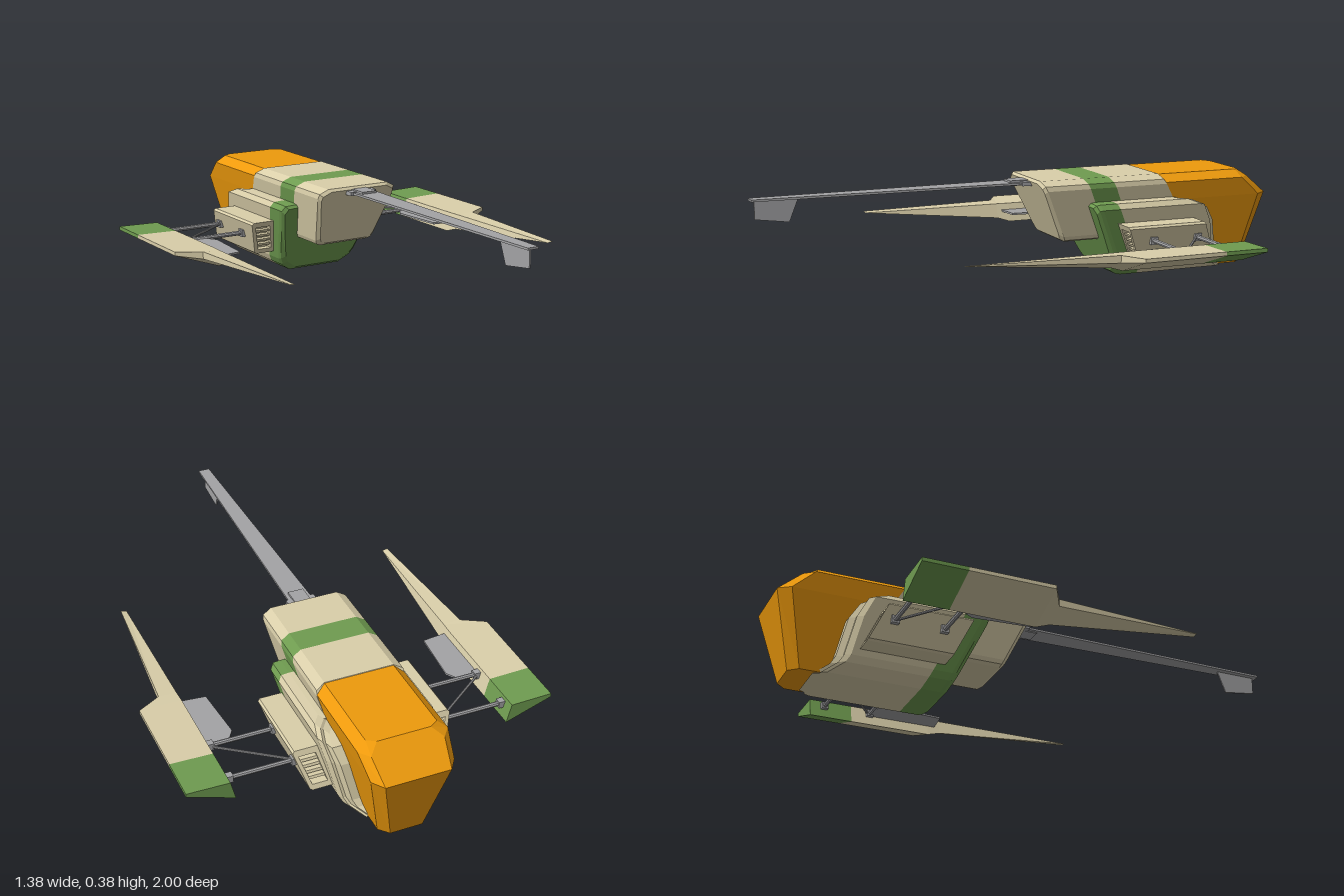
import * as THREE from 'three';

const mat = (color) => new THREE.MeshStandardMaterial({ color, flatShading: true, side: THREE.DoubleSide });

// Skin closed loops of [x, y, z] placed along z, with strip caps at both ends.
function loft(loops) {
  const n = loops[0].length, pos = [], idx = [];
  loops.forEach((l) => l.forEach((p) => pos.push(...p)));
  let area = 0;
  loops[1].forEach((p, i) => {
    const q = loops[1][(i + 1) % n];
    area += p[0] * q[1] - q[0] * p[1];
  });
  const flip = area * (loops[loops.length - 1][0][2] - loops[0][0][2]) < 0;
  const tri = (a, b, c) => (flip ? idx.push(a, c, b) : idx.push(a, b, c));
  const quad = (a, b, c, d) => { tri(a, b, c); tri(a, c, d); };
  for (let r = 0; r < loops.length - 1; r++) {
    for (let i = 0; i < n; i++) {
      const j = (i + 1) % n;
      quad(r * n + i, r * n + j, (r + 1) * n + j, (r + 1) * n + i);
    }
  }
  const last = (loops.length - 1) * n;
  for (let i = 0; i < n / 2 - 1; i++) {
    const a = i, b = i + 1, c = n - 2 - i, d = n - 1 - i;
    quad(a, d, c, b);
    quad(last + a, last + b, last + c, last + d);
  }
  const g = new THREE.BufferGeometry();
  g.setAttribute('position', new THREE.Float32BufferAttribute(pos, 3));
  g.setIndex(idx);
  const flat = g.toNonIndexed();
  flat.computeVertexNormals();
  return flat;
}

// Mirror a half section, listed from top to bottom, into a full loop.
const mirrorLoop = (half) => [...half, ...half.map(([x, y, z]) => [-x, y, z]).reverse()];

// Half profile on a plane leaning back towards the bottom, optionally shrunk.
function leaning(profile, z, lean, shrink = 0) {
  const mid = (profile[0][1] + profile[profile.length - 1][1]) / 2;
  return mirrorLoop(profile.map(([x, y]) => {
    const yy = y - Math.sign(y - mid) * shrink;
    return [x - shrink, yy, z - (0.385 - yy) * lean];
  }));
}

export function createModel() {
  const root = new THREE.Group();
  const cream = mat(0xdacfaa), green = mat(0x6f9c50), orange = mat(0xee9a0c), grey = mat(0xa3a3a5);
  const add = (name, geo, material, parent = root) => {
    const m = new THREE.Mesh(geo, material);
    m.name = name;
    parent.add(m);
    return m;
  };

  // Upper hull with a painted band
  const upper = [[0.13, 0.385], [0.163, 0.368], [0.166, 0.35], [0.128, 0.17], [0.121, 0.155], [0.105, 0.148]];
  const up = (z, s, lean = 0.45) => leaning(upper, z, lean, s);
  add('upperHullNose', loft([up(-0.035, 0.01), up(-0.048, 0), up(-0.22, 0)]), cream);
  add('upperHullBand', loft([up(-0.22, 0), up(-0.325, 0)]), green);
  add('upperHullRear', loft([up(-0.325, 0), up(-0.53, 0, 0.6)]), cream);

  // Lower hull saddle: painted front, rounded rear shoulder and rear lip
  const lower = [[0.175, 0.297], [0.205, 0.295], [0.217, 0.275], [0.2, 0.2], [0.168, 0.06], [0.155, 0.035], [0.11, 0.005]];
  const low = (z, s) => leaning(lower, z, 0.45, s);
  const rearZ = [-0.58, -0.62, -0.67, -0.705, -0.735, -0.75, -0.8];
  const rear = (dx, dy, dz) => mirrorLoop(lower.map(([x, y], i) =>
    [x - dx, y - (i < 3 ? dy : 0), rearZ[i] - dz]));
  add('lowerHullFront', loft([low(-0.187, 0.014), low(-0.2, 0.003), low(-0.215, 0), low(-0.285, 0)]), green);
  add('lowerHullBody', loft([low(-0.285, 0), rear(0, 0, 0), rear(0.012, 0.005, 0.022),
    rear(0.022, 0.012, 0.022), rear(0.035, 0.02, 0.045)]), cream);

  // Engine block at the back
  const engine = [[0.13, 0.383], [0.165, 0.355], [0.152, 0.285], [0.092, 0.008]];
  const tail = (dx, zs) => mirrorLoop(engine.map(([x, y], i) => [x - dx, y, zs[i]]));
  add('engineBlock', loft([leaning(engine, -0.53, 0.6),
    tail(0, [-0.86, -0.875, -0.955, -0.895]), tail(0.032, [-0.88, -0.914, -1, -0.93])]), orange);

  // Long front blade with its mount and tip fin
  const slab = (w, y0, y1, z) => [[w, y1, z], [w, y0, z], [-w, y0, z], [-w, y1, z]];
  add('frontBlade', loft([slab(0.045, 0.361, 0.369, -0.06), slab(0.022, 0.361, 0.369, 1)]), grey);
  add('bladeMount', loft([slab(0.055, 0.356, 0.373, -0.08), slab(0.055, 0.358, 0.372, -0.01)]), grey);
  add('bladeClamp', new THREE.BoxGeometry(0.06, 0.02, 0.1), grey).position.set(0, 0.367, -0.02);
  const fin = new THREE.Shape([[0.825, 0.365], [0.985, 0.365], [0.985, 0.295], [0.86, 0.278]]
    .map(([z, y]) => new THREE.Vector2(-z, y)));
  const finGeo = new THREE.ExtrudeGeometry(fin, { depth: 0.006, bevelEnabled: false });
  finGeo.translate(0, 0, -0.003).rotateY(Math.PI / 2);
  add('tipFin', finGeo, grey);

  const rod = (name, a, b, r, parent) => {
    const from = new THREE.Vector3(...a), to = new THREE.Vector3(...b);
    add(name, new THREE.TubeGeometry(new THREE.LineCurve3(from, to), 1, r, 8), grey, parent);
  };

  for (const s of [1, -1]) {
    const side = new THREE.Group();
    side.name = s > 0 ? 'leftSide' : 'rightSide';
    root.add(side);

    // Leaning prism from an x-y outline
    const prism = (pts, z, depth, hole) => {
      const v = (list) => list.map(([x, y]) => new THREE.Vector2(s * x, y));
      const shape = new THREE.Shape(v(pts));
      if (hole) shape.holes.push(new THREE.Path(v(hole)));
      const g = new THREE.ExtrudeGeometry(shape, { depth, bevelEnabled: false });
      const p = g.attributes.position;
      for (let i = 0; i < p.count; i++) p.setZ(i, p.getZ(i) + z - (0.22 - p.getY(i)) * 0.45);
      g.computeVertexNormals();
      return g;
    };

    // Intake pod with louvres front and rear
    const opening = [[0.215, 0.2], [0.278, 0.2], [0.245, 0.102], [0.188, 0.102]];
    add('intakePod', prism([[0.15, 0.221], [0.29, 0.221], [0.297, 0.213], [0.257, 0.09], [0.248, 0.084], [0.15, 0.084]],
      -0.645, 0.315, opening), cream, side);
    add('intakeCore', prism(opening, -0.61, 0.25), cream, side);
    for (let i = 0; i < 4; i++) {
      const y = 0.116 + i * 0.02, t = (y - 0.102) / 0.098;
      const x0 = 0.185 + 0.027 * t, x1 = 0.247 + 0.033 * t;
      const slat = [[x0, y], [x1, y], [x1 + 0.002, y + 0.009], [x0 + 0.002, y + 0.009]];
      add('frontLouvre', prism(slat, -0.362, 0.025), cream, side);
      add('rearLouvre', prism(slat, -0.638, 0.025), cream, side);
    }

    // Struts between pod and outrigger
    for (const z of [-0.62, -0.437]) {
      rod('strut', [s * 0.26, 0.163, z], [s * 0.54, 0.163, z], 0.009, side);
      add('strutCollar', new THREE.BoxGeometry(0.03, 0.028, 0.028), grey, side).position.set(s * 0.278, 0.163, z);
      add('strutSocket', new THREE.BoxGeometry(0.025, 0.026, 0.026), grey, side).position.set(s * 0.518, 0.163, z);
    }
    rod('diagonalStrut', [s * 0.285, 0.163, -0.615], [s * 0.51, 0.163, -0.45], 0.005, side);

    // Wedge-section outrigger tapering to a forward spike
    const wedge = (z, outer, inner, keel, low = 0.178) => [[s * outer, 0.192, z], [s * inner, 0.188, z],
      [s * (inner - (0.188 - keel) * 0.25), keel, z], [s * outer, low, z]];
    add('outriggerTail', loft([wedge(-0.675, 0.69, 0.532, 0.116), wedge(-0.51, 0.69, 0.532, 0.116)]), green, side);
    add('outrigger', loft([wedge(-0.51, 0.69, 0.532, 0.116), wedge(-0.195, 0.69, 0.532, 0.116),
      wedge(-0.145, 0.602, 0.534, 0.132, 0.165), wedge(0.41, 0.562, 0.54, 0.188, 0.19)]), cream, side);

    // Thin inboard flap
    const flap = new THREE.Shape([[0.53, -0.165], [0.435, -0.175], [0.418, -0.39], [0.445, -0.432], [0.53, -0.432]]
      .map(([x, z]) => new THREE.Vector2(s * x, -z)));
    const flapGeo = new THREE.ExtrudeGeometry(flap, { depth: 0.007, bevelEnabled: false });
    flapGeo.rotateX(-Math.PI / 2).translate(0, 0.156, 0);
    add('inboardFlap', flapGeo, grey, side);
  }
  return root;
}
